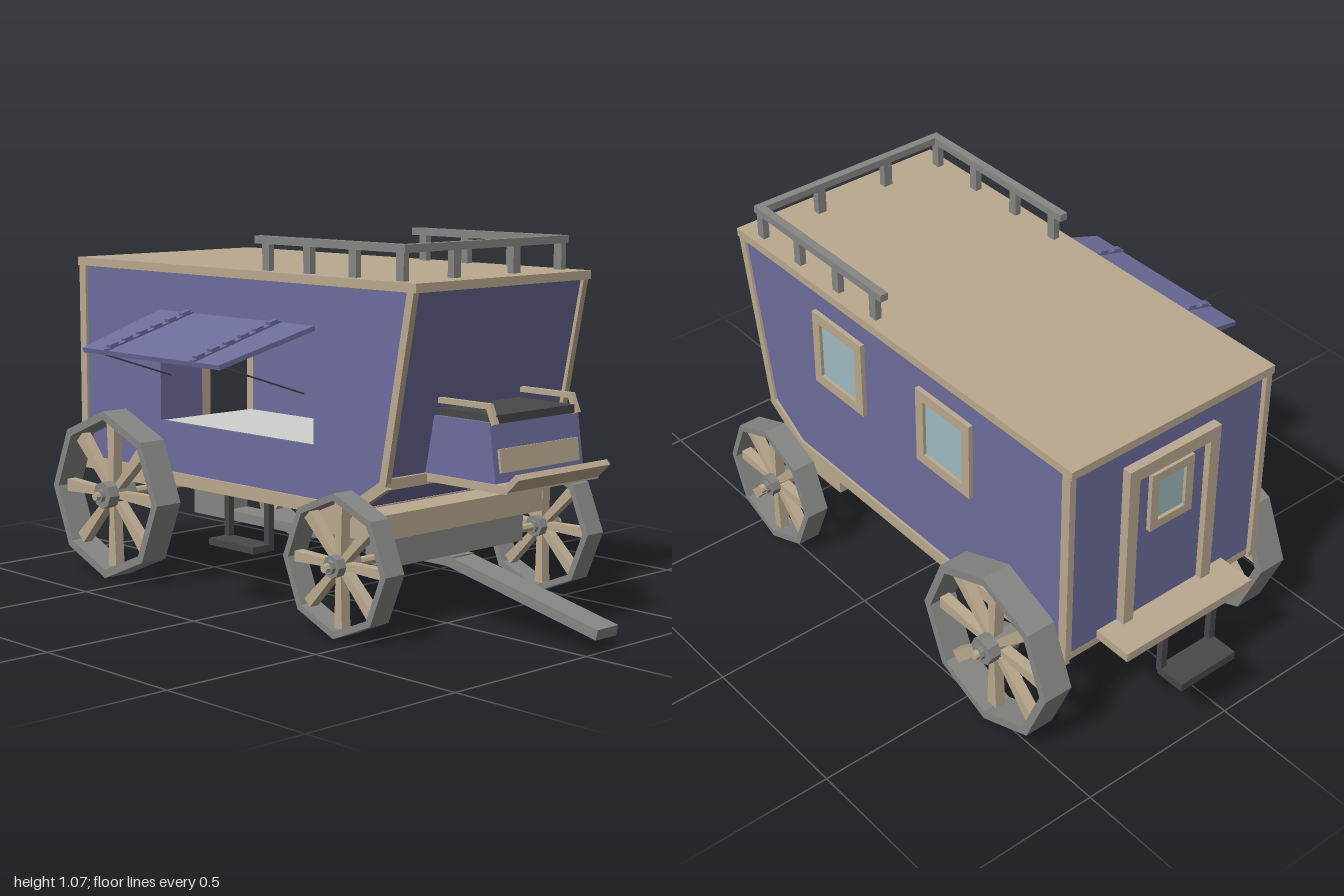
import * as THREE from 'three';

const mat = (name, color) => Object.assign(new THREE.MeshStandardMaterial({ color }), { name });

export function createModel() {
  const blue = mat('blue paint', 0x6d6d9c), tan = mat('tan wood', 0xbba98f), grey = mat('grey wood', 0x868684),
    dark = mat('dark iron', 0x484848), glass = mat('glass', 0xa0bbc2), pale = mat('pale interior', 0xcfcfcc);
  const model = new THREE.Group();
  const L = -0.255, R = 0.435, C = (L + R) / 2;

  const add = (name, geo, m, parent = model) => {
    const mesh = new THREE.Mesh(geo, m);
    mesh.name = name;
    parent.add(mesh);
    return mesh;
  };
  // Box from minimum and maximum corners
  const box = (name, m, x0, x1, y0, y1, z0, z1, parent) => add(name,
    new THREE.BoxGeometry(x1 - x0, y1 - y0, z1 - z0).translate((x0 + x1) / 2, (y0 + y1) / 2, (z0 + z1) / 2), m, parent);
  // Side profile of [z, y] points extruded from x0 to x1
  const vecs = (pts) => pts.map(([a, b]) => new THREE.Vector2(a, b));
  const profile = (name, m, pts, x0, x1, hole, parent) => {
    const shape = new THREE.Shape(vecs(pts));
    if (hole) shape.holes.push(new THREE.Path(vecs(hole)));
    const geo = new THREE.ExtrudeGeometry(shape, { depth: x1 - x0, bevelEnabled: false });
    return add(name, geo.rotateY(-Math.PI / 2).translate(x1, 0, 0), m, parent);
  };
  // Straight board of thickness t between two [z, y] points
  const board = (name, m, a, b, t, x0, x1) => {
    const d = new THREE.Vector2(b[0] - a[0], b[1] - a[1]).normalize().multiplyScalar(t / 2);
    const [nx, ny] = [-d.y, d.x];
    return profile(name, m, [[a[0] + nx, a[1] + ny], [a[0] - nx, a[1] - ny], [b[0] - nx, b[1] - ny], [b[0] + nx, b[1] + ny]], x0, x1);
  };
  const rect = (z0, z1, y0, y1) => [[z0, y0], [z1, y0], [z1, y1], [z0, y1]];

  // Hollow body with a serving opening on one side
  const outer = [[0.61, 0.95], [0.505, 0.42], [0.37, 0.335], [-0.81, 0.335], [-0.81, 0.95]];
  const inner = [[0.59, 0.94], [0.49, 0.425], [0.365, 0.345], [-0.8, 0.345], [-0.8, 0.94]];
  profile('bodyShell', blue, outer, L + 0.01, R - 0.01, inner);
  profile('leftWall', blue, outer, R - 0.01, R);
  profile('rightWall', blue, outer, L, L + 0.01, [[-0.44, 0.5], [0.23, 0.5], [0.23, 0.83], [-0.44, 0.83]]);
  box('counter', pale, L + 0.01, 0.12, 0.48, 0.495, -0.46, 0.25);
  box('floor', tan, L, R, 0.312, 0.334, -0.81, 0.37);
  box('roof', tan, -0.265, 0.442, 0.945, 0.97, -0.83, 0.63);

  // Corner posts and edge trim
  for (const [x0, x1] of [[L - 0.008, L + 0.012], [R - 0.012, R + 0.008]]) {
    board('frontPost', tan, [0.608, 0.95], [0.505, 0.415], 0.025, x0, x1);
    board('slopeTrim', tan, [0.515, 0.425], [0.365, 0.33], 0.03, x0, x1);
    box('sillTrim', tan, x0, x1, 0.312, 0.35, -0.82, 0.375);
    box('rearPost', tan, x0, x1, 0.33, 0.95, -0.825, -0.795);
  }
  box('frontSill', tan, L, R, 0.41, 0.44, 0.495, 0.52);

  // Framed window: outer border with a glass plate, facing +z before placement
  const framed = (name, w, h, border, depth) => {
    const g = new THREE.Group();
    g.name = name;
    const s = new THREE.Shape(vecs(rect(-w / 2, w / 2, -h / 2, h / 2)));
    s.holes.push(new THREE.Path(vecs(rect(-w / 2 + border, w / 2 - border, -h / 2 + border, h / 2 - border))));
    add('windowFrame', new THREE.ExtrudeGeometry(s, { depth, bevelEnabled: false }), tan, g);
    box('windowGlass', glass, -w / 2 + border, w / 2 - border, -h / 2 + border, h / 2 - border, 0, 0.004, g);
    model.add(g);
    return g;
  };
  for (const z of [0.147, -0.322]) {
    const w = framed('sideWindow', 0.226, 0.24, 0.031, 0.014);
    w.position.set(R, 0.76, z);
    w.rotation.y = Math.PI / 2;
  }

  // Back door, porch and step
  box('doorFrameLeft', tan, 0.215, 0.25, 0.36, 0.875, -0.838, -0.81);
  box('doorFrameRight', tan, -0.07, -0.035, 0.36, 0.875, -0.838, -0.81);
  box('doorFrameTop', tan, -0.035, 0.215, 0.835, 0.875, -0.838, -0.81);
  box('door', blue, -0.035, 0.215, 0.36, 0.835, -0.818, -0.81);
  const doorWindow = framed('doorWindow', 0.15, 0.185, 0.027, 0.014);
  doorWindow.position.set(C, 0.725, -0.818);
  doorWindow.rotation.y = Math.PI;
  box('porch', tan, -0.14, 0.32, 0.333, 0.36, -0.93, -0.81);
  box('rearStep', dark, -0.02, 0.18, 0.19, 0.215, -1, -0.905);
  for (const x of [-0.02, 0.16]) box('rearStepBracket', dark, x, x + 0.02, 0.2, 0.335, -0.92, -0.9);

  // Hanging side step
  box('sideStep', dark, -0.295, -0.215, 0.165, 0.185, -0.175, 0.02);
  for (const z of [-0.175, 0]) box('sideStepBracket', dark, -0.235, -0.215, 0.18, 0.315, z, z + 0.02);

  // Raised shutter with strap hinges and stays
  const hinge = [L, 0.825], tip = [-0.57, 0.738];
  const len = Math.hypot(hinge[0] - tip[0], hinge[1] - tip[1]);
  const shutter = new THREE.Group();
  shutter.name = 'shutter';
  shutter.position.set(hinge[0], hinge[1], 0);
  shutter.rotation.z = Math.atan2(hinge[1] - tip[1], hinge[0] - tip[0]);
  model.add(shutter);
  const panel = new THREE.Shape(vecs([[0, -0.235], [0, 0.44], [-len, 0.4], [-len, -0.2]]));
  add('shutterPanel', new THREE.ExtrudeGeometry(panel, { depth: 0.014, bevelEnabled: false })
    .rotateX(-Math.PI / 2).translate(0, -0.007, 0), blue, shutter);
  for (const z of [-0.29, 0.09]) {
    box('strap', blue, -len, 0, 0.007, 0.012, z - 0.009, z + 0.009, shutter);
    for (let i = 0; i < 6; i++) {
      const x = -0.025 - i * 0.055;
      box('strapStud', blue, x - 0.015, x + 0.015, 0.012, 0.02, z - 0.009, z + 0.009, shutter);
    }
  }
  for (const z of [-0.39, 0.19]) {
    const stay = new THREE.LineCurve3(new THREE.Vector3(-0.56, 0.74, z), new THREE.Vector3(L, 0.64, z));
    add('stay', new THREE.TubeGeometry(stay, 1, 0.0025, 4), dark);
  }

  // Roof rail
  box('frontRail', grey, -0.24, 0.42, 1.045, 1.067, 0.54, 0.565);
  for (const x of [-0.24, 0.395]) {
    box('sideRail', grey, x, x + 0.025, 1.045, 1.067, -0.03, 0.54);
    for (const z of [0.53, 0.35, 0.17, 0]) box('railPost', grey, x + 0.002, x + 0.022, 0.97, 1.045, z, z + 0.028);
  }
  for (const x of [-0.038, 0.202]) box('railPost', grey, x - 0.014, x + 0.014, 0.97, 1.045, 0.541, 0.564);

  // Driver's seat and footboard
  profile('seatBox', blue, [[0.5, 0.44], [0.765, 0.44], [0.742, 0.6], [0.54, 0.6]], -0.1, 0.26);
  board('seatPanel', tan, [0.764, 0.467], [0.756, 0.53], 0.008, -0.08, 0.24);
  box('cushion', dark, -0.083, 0.235, 0.597, 0.62, 0.545, 0.75);
  for (const x of [-0.095, 0.238]) {
    box('armRest', tan, x, x + 0.016, 0.635, 0.65, 0.55, 0.735);
    board('armPost', tan, [0.728, 0.647], [0.75, 0.595], 0.016, x, x + 0.016);
  }
  box('footboard', tan, -0.105, 0.27, 0.418, 0.44, 0.5, 0.81);
  board('toeBoard', tan, [0.8, 0.426], [0.845, 0.468], 0.018, -0.105, 0.27);

  // Running gear
  box('frontBolster', tan, -0.25, R, 0.26, 0.33, 0.19, 0.47);
  box('frontAxleBeam', grey, -0.19, 0.36, 0.18, 0.26, 0.37, 0.46);
  box('rearBolster', tan, -0.19, 0.36, 0.275, 0.315, -0.68, -0.5);
  box('reachPole', grey, 0.045, 0.13, 0.15, 0.18, -0.65, 0.48);
  box('reachPost', grey, 0.045, 0.13, 0.17, 0.28, -0.65, -0.49);
  board('drawPole', grey, [0.997, 0.05], [0.46, 0.165], 0.03, 0.045, 0.13);

  // Eight-sided wheels with eight spokes
  const octagon = (r) => Array.from({ length: 8 }, (_, i) => [r * Math.cos(i * Math.PI / 4), r * Math.sin(i * Math.PI / 4)]);
  const rod = (name, m, r, x0, x1, parent) => add(name,
    new THREE.CylinderGeometry(r, r, x1 - x0, 8).toNonIndexed().rotateZ(Math.PI / 2).translate((x0 + x1) / 2, 0, 0),
    m, parent).geometry.computeVertexNormals();
  const wheelPair = (name, y, z, r, w, offset) => {
    const axle = new THREE.Group();
    axle.name = name + 'Axle';
    axle.position.set(C, y, z);
    model.add(axle);
    rod('axleRod', tan, 0.013, -offset - w / 2 - 0.035, offset + w / 2 + 0.035, axle);
    for (const side of [-1, 1]) {
      const wheel = new THREE.Group();
      wheel.name = name + 'Wheel';
      wheel.position.x = side * offset;
      axle.add(wheel);
      profile('rim', grey, octagon(r), -w / 2, w / 2, octagon(r * 0.9), wheel);
      rod('hub', grey, r * 0.16, -w * 0.5 - 0.008, w * 0.5 + 0.008, wheel);
      rod('hubCap', grey, 0.02, -w * 0.5 - 0.02, w * 0.5 + 0.02, wheel);
      for (let i = 0; i < 8; i++) {
        const spoke = profile('spoke', tan, [[-0.01, r * 0.12], [0.01, r * 0.12], [r * 0.075, r * 0.87], [-r * 0.075, r * 0.87]],
          -0.016, 0.016, null, wheel);
        spoke.rotation.x = i * Math.PI / 4;
      }
    }
  };
  wheelPair('front', 0.202, 0.415, 0.2, 0.07, 0.412);
  wheelPair('rear', 0.262, -0.597, 0.257, 0.09, 0.4);

  return model;
}
